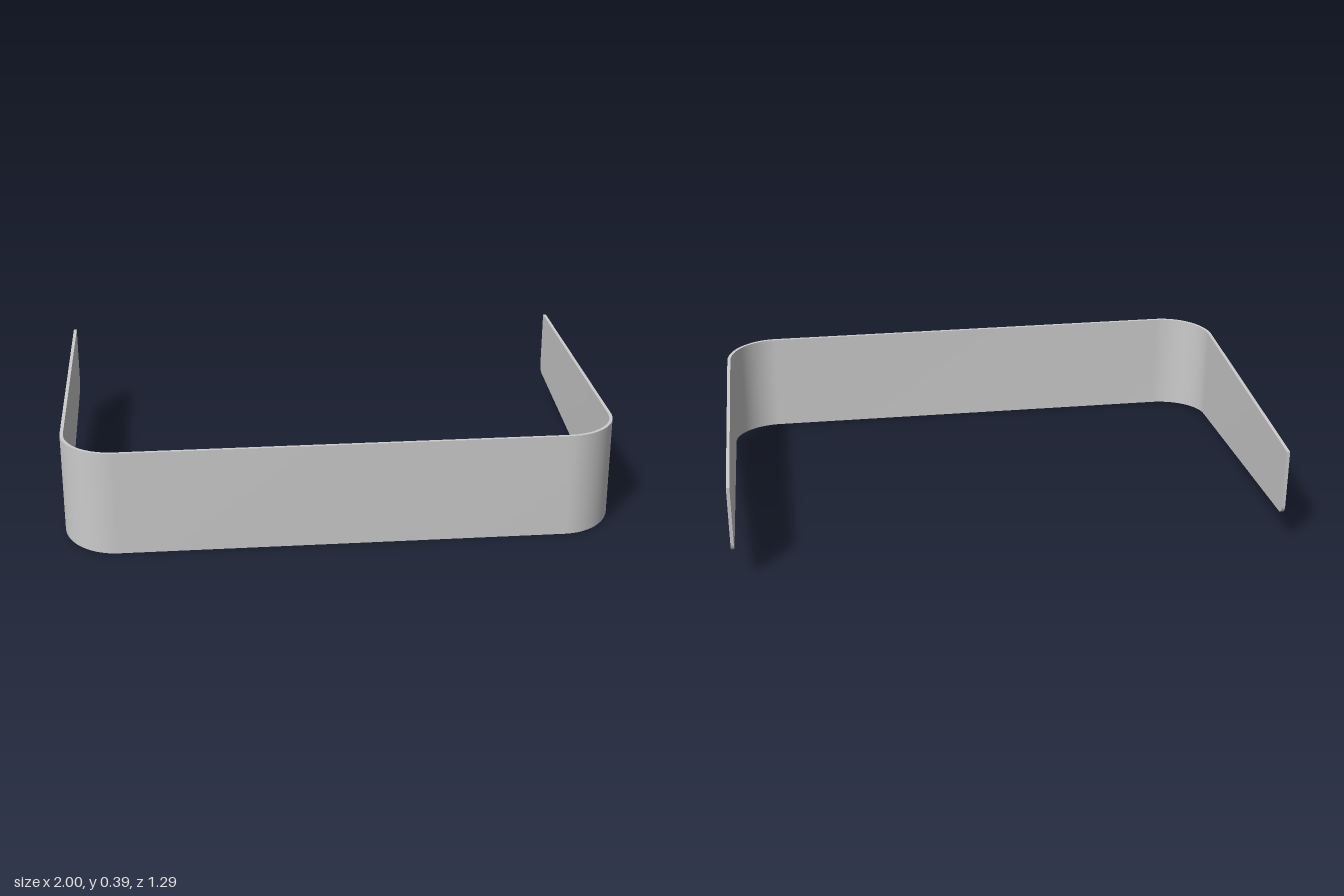
import * as THREE from 'three';
import { toCreasedNormals } from 'three/addons/utils/BufferGeometryUtils.js';

const HALF_W = 1, HALF_D = 0.645, HEIGHT = 0.387;
const WALL = 0.012;       // sheet thickness
const CORNER = 0.195;     // plan radius of the two front bends
const TIP = 0.03;         // rounding of the lower rear tips
const SLOPE = 0.103;      // rise of the lower edge towards the back

// Height of the lower edge at a given depth
function lowerEdge(z) {
  const d = Math.max(0, TIP - (z + HALF_D));
  return SLOPE * (HALF_D - z) + TIP - Math.sqrt(Math.max(0, TIP * TIP - d * d));
}

// Outer plan line of one half, from rear tip to front middle: [x, z, normalX, normalZ]
function halfPath() {
  const path = [];
  for (let i = 0; i <= 8; i++) {
    const a = (i / 8) * Math.PI / 2;
    path.push([HALF_W, -HALF_D + TIP * (1 - Math.cos(a)), 1, 0]);
  }
  for (let i = 0; i <= 20; i++) {
    const a = (i / 20) * Math.PI / 2;
    const nx = Math.cos(a), nz = Math.sin(a);
    path.push([HALF_W - CORNER + CORNER * nx, HALF_D - CORNER + CORNER * nz, nx, nz]);
  }
  return path;
}

// Sweep a thin upright rectangle along the U-shaped plan
function bandGeometry() {
  const half = halfPath();
  const path = [...half, ...half.map(([x, z, nx, nz]) => [-x, z, -nx, nz]).reverse()];
  const positions = [], index = [];
  for (const [x, z, nx, nz] of path) {
    const ix = x - nx * WALL, iz = z - nz * WALL;
    positions.push(x, lowerEdge(z), z, x, HEIGHT, z, ix, HEIGHT, iz, ix, lowerEdge(iz), iz);
  }
  for (let i = 0; i < path.length - 1; i++) {
    for (let j = 0; j < 4; j++) {
      const a = i * 4 + j, b = i * 4 + (j + 1) % 4;
      index.push(a, b, a + 4, b, b + 4, a + 4);
    }
  }
  // End caps
  const e = (path.length - 1) * 4;
  index.push(0, 2, 1, 0, 3, 2, e, e + 1, e + 2, e, e + 2, e + 3);

  const geometry = new THREE.BufferGeometry();
  geometry.setAttribute('position', new THREE.Float32BufferAttribute(positions, 3));
  geometry.setIndex(index);
  return toCreasedNormals(geometry, 0.6);
}

export function createModel() {
  const group = new THREE.Group();
  group.name = 'wraparoundBand';
  const band = new THREE.Mesh(bandGeometry(), new THREE.MeshStandardMaterial({ color: 0xcccccc }));
  band.name = 'bentBand';
  group.add(band);
  return group;
}
